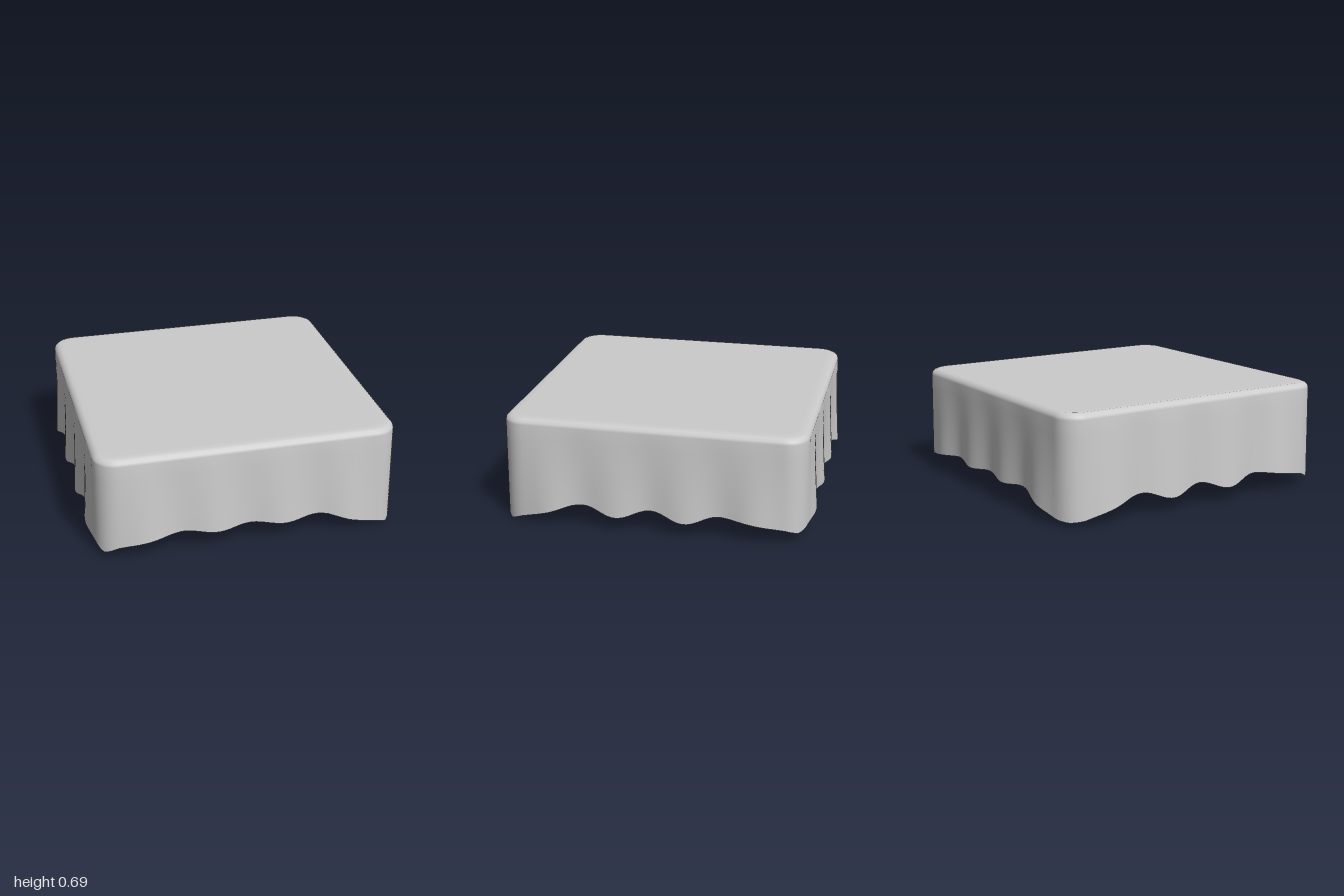
import * as THREE from 'three';

const PERIOD = 0.435; // spacing of the folds along each side
// Corners in order: front left, front right, back right, back left
const CORNER = [0.045, 0, 0.07, 0.03];  // hem height at the corner tip
const FLANK = [0.085, 0.035, 0.095, 0.04]; // hem height just beside it
const MIDDLE = [0.12, 0.09, 0.125, 0.095]; // hem height at the outer fold

const wave = (u) => (1 - Math.cos((2 * Math.PI * u) / PERIOD)) / 2;

// Height of the wavy hem at position u along a side
function hemHeight(side, u) {
  const a = Math.abs(u);
  if (a < PERIOD) return 0.15 - (side % 2 ? 0.057 : 0.02) * wave(u);
  const c = u < 0 ? side : (side + 1) % 4;
  const knots = [[PERIOD, 0.15], [0.5, 0.144], [0.65, MIDDLE[c]], [0.84, FLANK[c]], [0.921, CORNER[c]]];
  for (let i = 1; i < knots.length; i++) {
    const [u0, y0] = knots[i - 1], [u1, y1] = knots[i];
    if (a <= u1) return THREE.MathUtils.lerp(y0, y1, (a - u0) / (u1 - u0));
  }
  return CORNER[c];
}

// One side of a rounded square, from corner middle to corner middle
function sidePoints(half, r) {
  const pts = [], flat = half - r, arc = 5, straight = 48;
  const bend = (s, a) => pts.push([s * (flat + r * Math.sin(a)), flat + r * Math.cos(a)]);
  for (let i = arc; i > 0; i--) bend(-1, (i / arc) * Math.PI / 4);
  for (let i = 0; i <= straight; i++) pts.push([flat * (2 * i / straight - 1), half]);
  for (let i = 1; i < arc; i++) bend(1, (i / arc) * Math.PI / 4);
  return pts;
}

function clothGeometry() {
  // Rows from the flat top over the rounded edge: half width, corner radius, height
  const rows = [
    [0.88, 0.09, 0.69], [0.92, 0.11, 0.69], [0.94, 0.125, 0.682],
    [0.955, 0.135, 0.667], [0.96, 0.14, 0.65],
  ].map(([half, r, y]) => ({ half, r, y, f: 0 }));
  // Rows down the hanging skirt
  for (let i = 1; i <= 6; i++) {
    const f = i / 6;
    rows.push({ half: 0.96 + 0.006 * f, r: 0.14 + 0.01 * f, y: 0.65, f });
  }
  const hemLine = sidePoints(0.966, 0.15);
  const n = hemLine.length * 4;
  const position = [0, 0.69, 0], index = [];
  rows.forEach(({ half, r, y, f }) => {
    const pts = sidePoints(half, r);
    for (let side = 0; side < 4; side++) {
      pts.forEach(([px, pz], i) => {
        const u = hemLine[i][0];
        let x = px, z = pz;
        if (Math.abs(u) < 2 * PERIOD) z += 0.034 * f * wave(u); // folds flare outward
        for (let k = 0; k < side; k++) [x, z] = [z, -x];
        position.push(x, THREE.MathUtils.lerp(y, hemHeight(side, u), f), z);
      });
    }
  });
  for (let i = 0; i < n; i++) {
    const j = (i + 1) % n;
    index.push(0, 1 + i, 1 + j);
    for (let k = 0; k < rows.length - 1; k++) {
      const a = 1 + k * n + i, b = 1 + k * n + j;
      index.push(a, a + n, b + n, a, b + n, b);
    }
  }
  const geometry = new THREE.BufferGeometry();
  geometry.setAttribute('position', new THREE.Float32BufferAttribute(position, 3));
  geometry.setIndex(index);
  geometry.computeVertexNormals();
  return geometry;
}

export function createModel() {
  const group = new THREE.Group();
  group.name = 'tablecloth';
  const material = new THREE.MeshStandardMaterial({ color: 0xcccccc, side: THREE.DoubleSide });
  const cloth = new THREE.Mesh(clothGeometry(), material);
  cloth.name = 'drapedCloth';
  group.add(cloth);
  return group;
}
